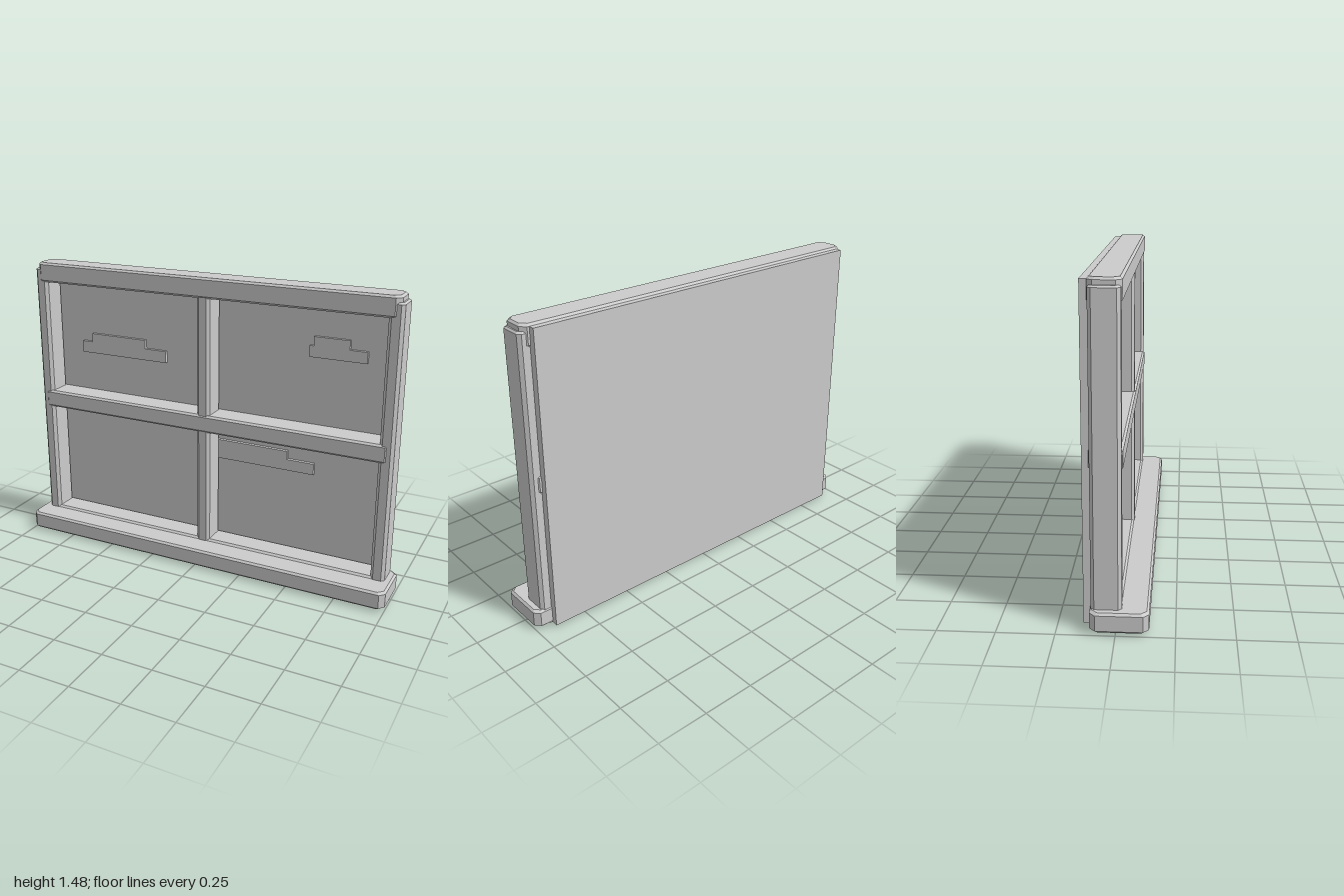
import * as THREE from 'three';
import { ConvexGeometry } from 'three/addons/geometries/ConvexGeometry.js';

// Box with chamfered vertical corners (c) and bevelled top and bottom edges (b)
function chamferedBox([x0, x1], [y0, y1], [z0, z1], c, b) {
  const pts = [];
  const ring = (y, inset) => {
    for (const sx of [-1, 1]) for (const sz of [-1, 1]) {
      const x = (sx < 0 ? x0 : x1) - sx * inset;
      const z = (sz < 0 ? z0 : z1) - sz * inset;
      pts.push(new THREE.Vector3(x - sx * c, y, z), new THREE.Vector3(x, y, z - sz * c));
    }
  };
  ring(y0, b);
  ring(y0 + b, 0);
  ring(y1 - b, 0);
  ring(y1, b);
  return new ConvexGeometry(pts);
}

export function createModel() {
  const group = new THREE.Group();
  const paleGrey = new THREE.MeshStandardMaterial({ color: 0xcccccc });
  paleGrey.name = 'paleGrey';

  const add = (name, geometry) => {
    const mesh = new THREE.Mesh(geometry, paleGrey);
    mesh.name = name;
    group.add(mesh);
  };

  // Projecting sill
  add('sill', chamferedBox([-1, 1], [0.01, 0.1], [-0.11, 0.14], 0.025, 0.01));

  // Horizontal rails
  const rails = { bottomRail: [0, 0.11], middleRail: [0.7, 0.79], topRail: [1.375, 1.475] };
  for (const [name, y] of Object.entries(rails)) {
    const z = name === 'bottomRail' ? [-0.105, 0.022] : [-0.11, 0.03];
    add(name, chamferedBox([-0.95, 0.95], y, z, 0.025, 0.01));
  }

  // Upright posts
  const posts = { rightPost: [-0.965, -0.895], centrePost: [-0.035, 0.035], leftPost: [0.895, 0.965] };
  for (const [name, x] of Object.entries(posts)) {
    add(name, chamferedBox(x, [0.02, 1.445], [-0.105, 0.025], 0.015, 0.008));
  }

  // Flat panel closing the back
  const panel = new THREE.BoxGeometry(1.83, 1.455, 0.035);
  panel.translate(0, 0.7375, -0.1225);
  add('backPanel', panel);

  // Stepped raised patches: left, right, step left, step right, bottom, step, top
  const patches = [
    [-0.765, -0.265, -0.705, -0.385, 0.995, 1.055, 1.1],
    [0.505, 0.785, 0.525, 0.7, 1.125, 1.18, 1.225],
    [-0.055, 0.55, 0.0, 0.41, 0.53, 0.587, 0.63],
  ];
  for (const [l, r, sl, sr, y0, y1, y2] of patches) {
    const outline = [[l, y0], [r, y0], [r, y1], [sr, y1], [sr, y2], [sl, y2], [sl, y1], [l, y1]];
    const shape = new THREE.Shape(outline.map(([x, y]) => new THREE.Vector2(x, y)));
    const patch = new THREE.ExtrudeGeometry(shape, { depth: 0.02, bevelEnabled: false });
    patch.translate(0, 0, -0.108);
    add('raisedPatch', patch);
  }

  return group;
}
